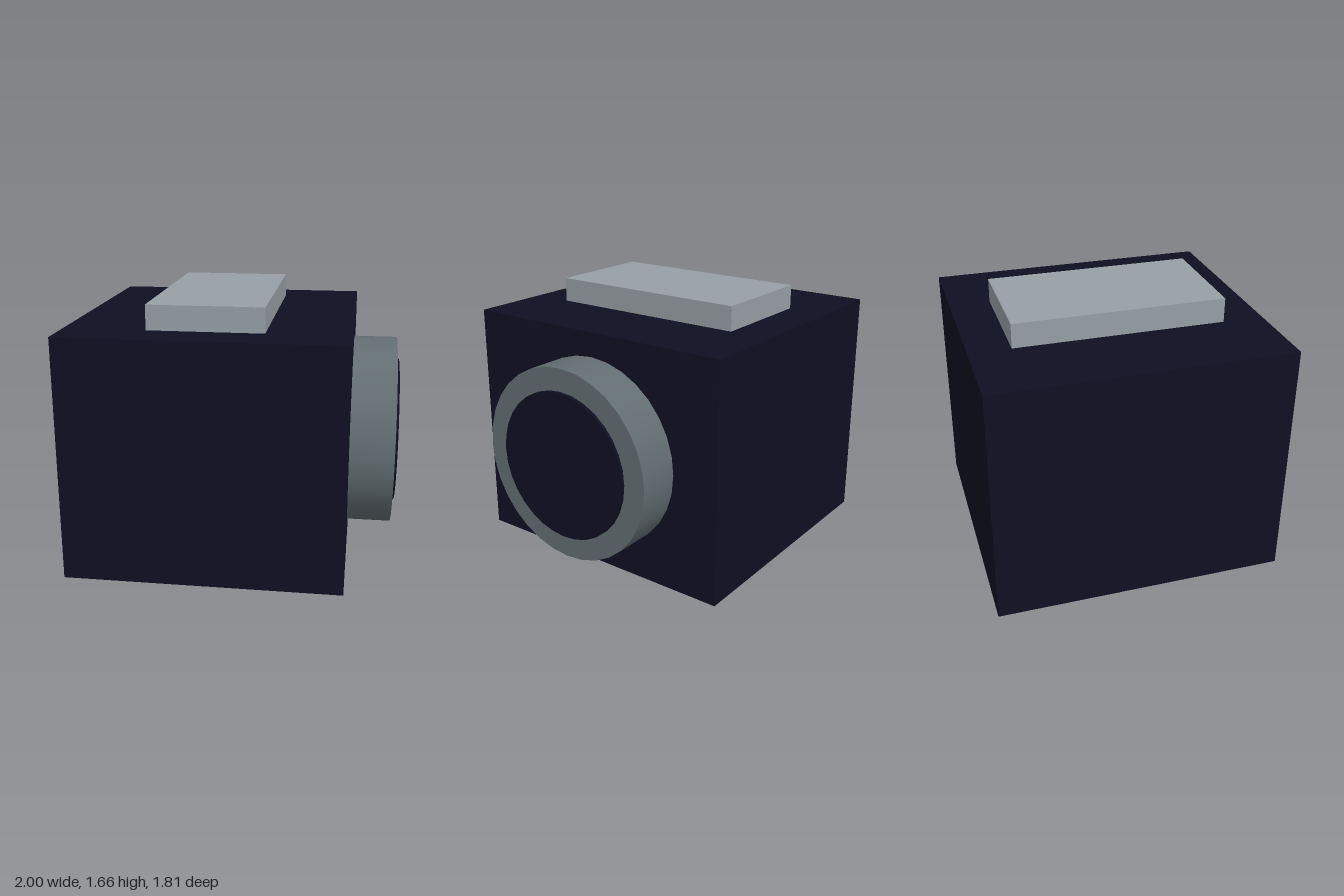
import * as THREE from 'three';

const material = (name, color) => {
  const m = new THREE.MeshStandardMaterial({ color });
  m.name = name;
  return m;
};

export function createModel() {
  const model = new THREE.Group();
  const navy = material('dark navy', 0x0f0f23);
  const slate = material('slate grey', 0x636e72);
  const silver = material('light grey', 0x979fa5);

  const add = (name, geometry, mat, x, y) => {
    const mesh = new THREE.Mesh(geometry, mat);
    mesh.name = name;
    mesh.position.set(x, y, 0);
    model.add(mesh);
  };
  // Cylinder lying along x
  const disc = (radius, length) =>
    new THREE.CylinderGeometry(radius, radius, length, 32).rotateZ(-Math.PI / 2);

  // Main housing
  add('body', new THREE.BoxGeometry(1.708, 1.508, 1.81), navy, -0.146, 0.754);
  // Raised plate on top
  add('topPlate', new THREE.BoxGeometry(0.704, 0.152, 1.3), silver, -0.147, 1.584);
  // Side barrel, sunk slightly into the body, and its protruding glass
  add('lensBarrel', disc(0.603, 0.3), slate, 0.83, 0.754);
  add('lensGlass', disc(0.462, 0.06), navy, 0.97, 0.754);

  return model;
}
